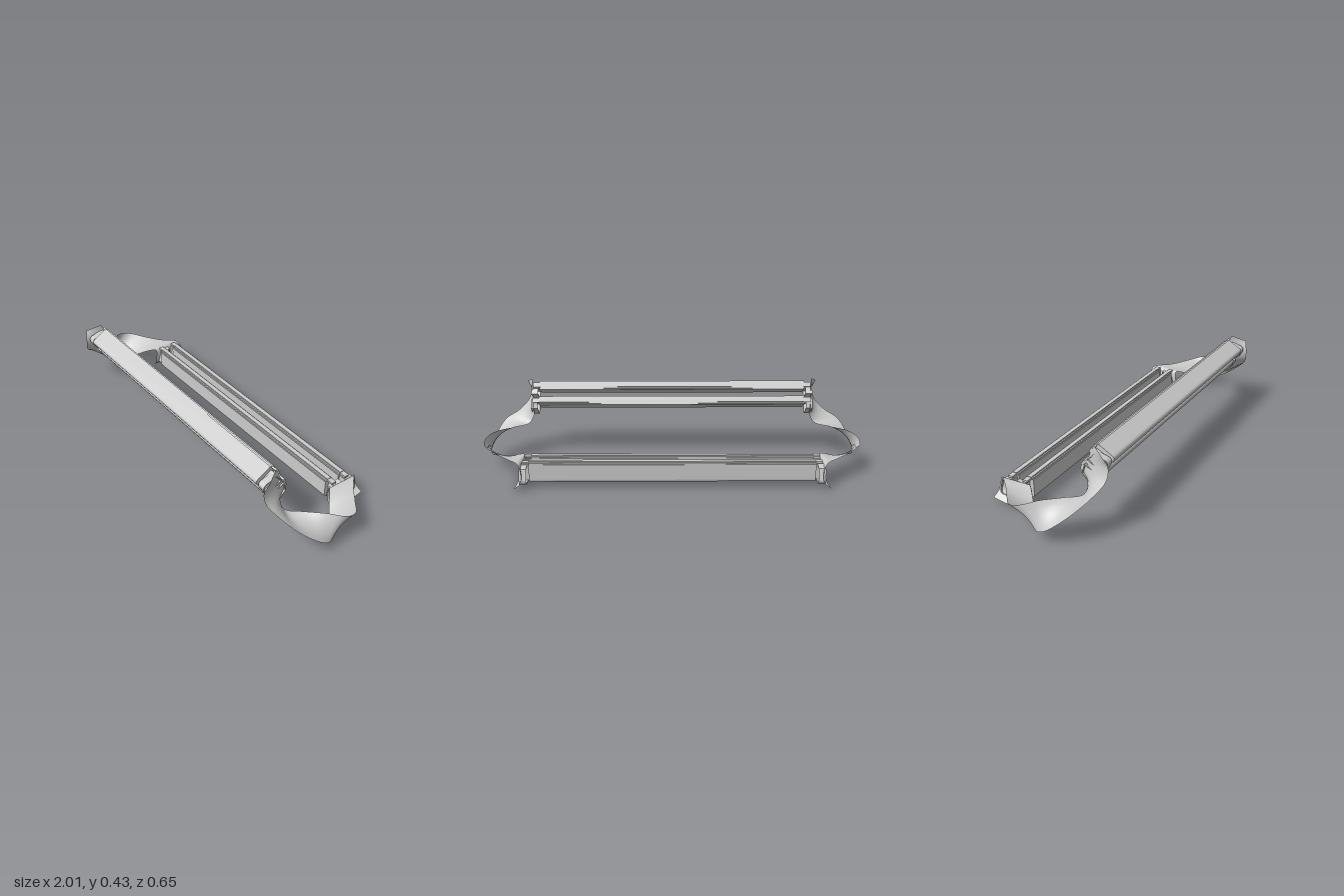
import * as THREE from 'three';

const material = new THREE.MeshStandardMaterial({ color: 0xcccccc, side: THREE.DoubleSide });

function add(parent, name, geometry) {
  const mesh = new THREE.Mesh(geometry, material);
  mesh.name = name;
  parent.add(mesh);
  return mesh;
}

// Extrude a section (drawn in depth / height) along x, from x0 to x1
function extrudeX(shape, x0, x1) {
  const g = new THREE.ExtrudeGeometry(shape, { depth: x1 - x0, bevelEnabled: false, curveSegments: 8 });
  g.rotateY(Math.PI / 2);
  g.translate(x0, 0, 0);
  return g;
}

// Deep slat with a rounded lower edge
function slatShape(u) {
  const w = 0.024, r = 0.02;
  const s = new THREE.Shape();
  s.moveTo(u - w, -0.006);
  s.lineTo(u - w, -0.105 + r);
  s.quadraticCurveTo(u - w, -0.105, u - w + r, -0.105);
  s.lineTo(u + w - r, -0.105);
  s.quadraticCurveTo(u + w, -0.105, u + w, -0.105 + r);
  s.lineTo(u + w, -0.006);
  s.closePath();
  return s;
}

// Stepped rail along the slat's open edge
function railShape(u) {
  const s = new THREE.Shape();
  s.moveTo(u - 0.019, -0.008);
  s.lineTo(u + 0.019, -0.008);
  s.lineTo(u + 0.019, 0.002);
  s.lineTo(u + 0.012, 0.002);
  s.lineTo(u + 0.012, 0.008);
  s.lineTo(u - 0.012, 0.008);
  s.lineTo(u - 0.012, 0.002);
  s.lineTo(u - 0.019, 0.002);
  s.closePath();
  return s;
}

// Teardrop loop: one upright side, one leaning side, rounded at the bottom
function loopOutline(target, u, m, k) {
  const p = (a, b) => [u + m * a * k, -0.062 + (b + 0.062) * k];
  target.moveTo(...p(-0.02, -0.022));
  target.lineTo(...p(-0.036, -0.08));
  target.quadraticCurveTo(...p(-0.037, -0.103), ...p(-0.014, -0.106));
  target.lineTo(...p(0.02, -0.106));
  target.quadraticCurveTo(...p(0.035, -0.104), ...p(0.034, -0.084));
  target.lineTo(...p(0.03, -0.011));
  target.closePath();
  return target;
}

// A pair of slats with rails and end loops
function createSlatPair(name) {
  const pair = new THREE.Group();
  pair.name = name;
  for (const m of [1, -1]) {
    const u = -0.043 * m;
    add(pair, 'slat', extrudeX(slatShape(u), -0.735, 0.735));
    add(pair, 'rail', extrudeX(railShape(u), -0.735, 0.735));
    const lu = 0.02 - 0.045 * m;
    for (const side of [1, -1]) {
      const ring = loopOutline(new THREE.Shape(), lu, m, 1);
      ring.holes.push(loopOutline(new THREE.Path(), lu, m, 0.9));
      const [a, b] = side > 0 ? [0.745, 0.782] : [-0.782, -0.745];
      add(pair, 'endLoop', extrudeX(ring, a, b));
      // Narrow tongue joining slat and loop
      const tongue = add(pair, 'tongue', new THREE.BoxGeometry(0.045, 0.085, 0.016));
      tongue.position.set(side * 0.752, -0.055, -u - m * 0.006);
      const nub = add(pair, 'railEnd', new THREE.BoxGeometry(0.04, 0.01, 0.026));
      nub.position.set(side * 0.75, 0, -u);
    }
  }
  return pair;
}

// Twisting side strap: matching points on its two edges, upper end first
const innerEdge = [
  [0.775, 0.432, 0.236], [0.77, 0.35, 0.196], [0.765, 0.291, 0.157], [0.77, 0.238, 0.196],
  [0.80, 0.186, 0.195], [0.87, 0.186, 0.13], [0.95, 0.192, 0.055], [0.995, 0.18, 0],
  [1, 0.157, -0.07], [0.92, 0.138, -0.15], [0.85, 0.132, -0.21], [0.785, 0.13, -0.28],
  [0.768, 0.085, -0.307], [0.775, 0.04, -0.317], [0.81, 0.015, -0.323],
];
const outerEdge = [
  [0.815, 0.40, 0.31], [0.80, 0.35, 0.323], [0.815, 0.29, 0.318], [0.87, 0.235, 0.285],
  [0.94, 0.195, 0.25], [0.985, 0.13, 0.18], [1, 0.07, 0.1], [0.99, 0.057, 0.055],
  [0.94, 0.06, 0.02], [0.87, 0.08, -0.035], [0.81, 0.115, -0.09], [0.775, 0.125, -0.122],
  [0.768, 0.075, -0.12], [0.775, 0.04, -0.12], [0.81, 0.008, -0.122],
];

function strapGeometry(side) {
  const curve = (pts) => new THREE.CatmullRomCurve3(pts.map((p) => new THREE.Vector3(side * p[0], p[1], p[2])));
  const a = curve(innerEdge), b = curve(outerEdge);
  const rows = 84, cols = 6, pos = [], index = [];
  for (let i = 0; i <= rows; i++) {
    const t = i / rows;
    const p = a.getPoint(t), q = b.getPoint(t);
    for (let j = 0; j <= cols; j++) {
      const v = p.clone().lerp(q, j / cols);
      // Slight bow across the lower foot
      v.y -= 0.012 * Math.max(0, (t - 0.85) / 0.15) * Math.sin((Math.PI * j) / cols);
      pos.push(v.x, Math.max(0, v.y), v.z);
      if (i < rows && j < cols) {
        const k = i * (cols + 1) + j, n = k + cols + 1;
        if (side > 0) index.push(k, k + 1, n, k + 1, n + 1, n);
        else index.push(k, n, k + 1, k + 1, n, n + 1);
      }
    }
  }
  const g = new THREE.BufferGeometry();
  g.setAttribute('position', new THREE.Float32BufferAttribute(pos, 3));
  g.setIndex(index);
  g.computeVertexNormals();
  return g;
}

export function createModel() {
  const model = new THREE.Group();
  model.name = 'slatFrame';

  const lower = createSlatPair('lowerSlats');
  lower.position.set(0, 0.132, -0.2);
  model.add(lower);

  const upper = createSlatPair('upperSlats');
  upper.position.set(0, 0.364, 0.196);
  upper.rotation.x = -Math.PI / 3;
  model.add(upper);

  add(model, 'leftStrap', strapGeometry(1));
  add(model, 'rightStrap', strapGeometry(-1));
  return model;
}
